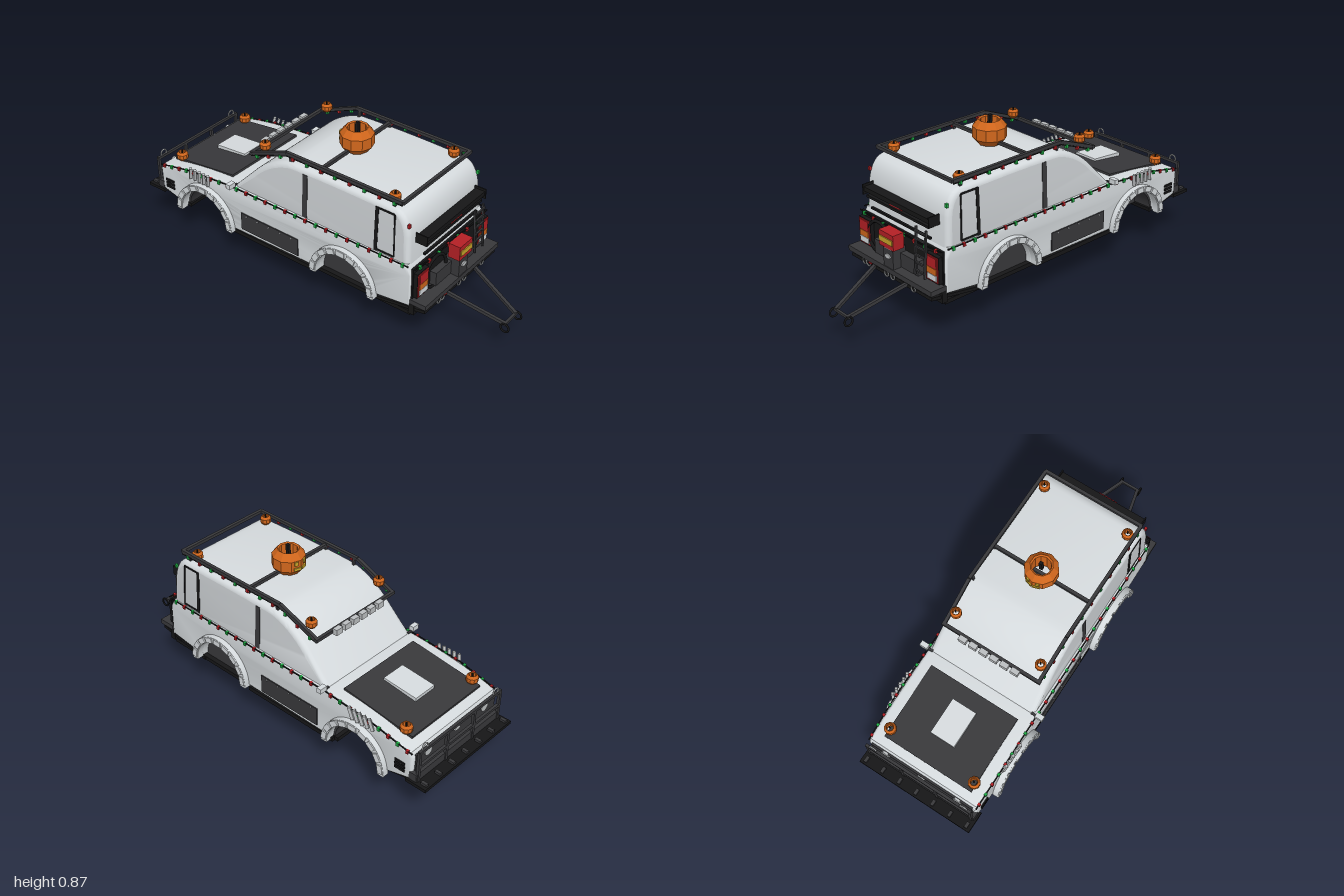
import * as THREE from 'three';
import { toCreasedNormals } from 'three/addons/utils/BufferGeometryUtils.js';

const mat = (name, color) => { const m = new THREE.MeshStandardMaterial({ color }); m.name = name; return m; };

export function createModel() {
  const root = new THREE.Group();
  root.name = 'expeditionWagon';
  const white = mat('white paint', 0xd6dbde), dark = mat('dark trim', 0x38383b), black = mat('black', 0x161617),
    orange = mat('pumpkin orange', 0xd0661c), red = mat('red', 0xb52025), green = mat('green', 0x1fae45),
    yellow = mat('yellow', 0xcaa52a), grey = mat('light grey', 0xbcbfc1), glass = mat('window grey', 0xcbcfd2);
  const V = (x, y, z) => new THREE.Vector3(x, y, z);

  const add = (name, geo, m, x = 0, y = 0, z = 0) => {
    const o = new THREE.Mesh(geo, m);
    o.name = name; o.position.set(x, y, z); root.add(o);
    return o;
  };
  const box = (name, m, w, h, d, x, y, z) => add(name, new THREE.BoxGeometry(w, h, d), m, x, y, z);
  // square bar between two points
  const bar = (name, m, a, b, t, t2 = t) => {
    const o = box(name, m, t, t2, a.distanceTo(b), 0, 0, 0);
    o.position.copy(a).add(b).multiplyScalar(0.5);
    o.lookAt(b);
    return o;
  };
  const path = (name, m, pts, t) => pts.slice(1).forEach((p, i) => bar(name, m, pts[i], p, t));
  // side profile in (z, y) extruded across x
  const across = (shape, width, bevel) => {
    const g = new THREE.ExtrudeGeometry(shape, { depth: width - 2 * bevel, bevelEnabled: bevel > 0,
      bevelSize: bevel, bevelThickness: bevel, bevelOffset: -bevel, bevelSegments: 4, curveSegments: 16 });
    g.translate(0, 0, bevel - width / 2);
    g.rotateY(-Math.PI / 2);
    return g;
  };
  // half ring across the car, standing over a wheel
  const halfRing = (name, m, inner, outer, width, x, y, z) => {
    const f = new THREE.Shape();
    f.absarc(0, 0, outer, -0.05, Math.PI + 0.05, false);
    f.absarc(0, 0, inner, Math.PI + 0.05, -0.05, true);
    add(name, toCreasedNormals(across(f, width, 0), 0.5), m, x, y, z);
  };
  const both = f => [-1, 1].forEach(f);

  // lower body with wheel arches
  const arches = [[0.26, 0.222], [-0.6, 0.207]];
  const s = new THREE.Shape();
  s.moveTo(0.625, 0.25);
  s.lineTo(0.625, 0.42);
  s.lineTo(0.6, 0.465);
  s.lineTo(-0.42, 0.465);
  s.quadraticCurveTo(-0.72, 0.45, -0.9, 0.395);
  s.lineTo(-0.915, 0.37);
  s.lineTo(-0.91, 0.25);
  s.lineTo(-0.75, 0.207);
  s.absarc(-0.6, 0.207, 0.15, Math.PI, 0, true);
  s.lineTo(0.11, 0.215);
  s.absarc(0.26, 0.222, 0.15, Math.PI, 0, true);
  s.closePath();
  add('lowerBody', toCreasedNormals(across(s, 0.6, 0.015), 0.6), white);
  // dark wells and floor
  box('rearWellCore', dark, 0.52, 0.17, 0.98, 0, 0.295, 0.09);
  box('frontWellCore', dark, 0.36, 0.15, 0.45, 0, 0.29, -0.625);
  halfRing('frontWellLiner', dark, 0.14, 0.152, 0.56, 0, 0.207, -0.6);
  box('underTray', black, 0.57, 0.02, 1.1, 0, 0.203, 0.07);
  box('frontUnderTray', black, 0.57, 0.02, 0.2, 0, 0.228, -0.83).rotation.x = 0.2;
  bar('rearUnderTray', black, V(0, 0.2, 0.4), V(0, 0.25, 0.7), 0.58, 0.015);

  // cabin, narrowing towards the roof, with grey sides
  const c = new THREE.Shape();
  c.moveTo(0.605, 0.42);
  c.lineTo(0.597, 0.6);
  c.quadraticCurveTo(0.58, 0.712, 0.51, 0.717);
  c.quadraticCurveTo(0.2, 0.728, -0.07, 0.717);
  c.quadraticCurveTo(-0.2, 0.69, -0.3, 0.58);
  c.lineTo(-0.455, 0.42);
  c.closePath();
  const cabin = across(c, 0.58, 0.026), p = cabin.attributes.position;
  const taper = y => 1 - (y - 0.455) * 0.15;
  for (let i = 0; i < p.count; i++) p.setX(i, p.getX(i) * taper(p.getY(i)));
  cabin.computeVertexNormals();
  add('cabin', toCreasedNormals(cabin, 0.6), [glass, white]);

  both(k => {
    // window frames and pillars lie on the sloping side
    const P = (z, y) => V(k * (0.288 * taper(y)), y, z);
    const upright = (name, m, z, w) => {
      const q = P(z, 0.58);
      box(name, m, 0.008, 0.225, w, q.x, q.y, z).rotation.z = k * 0.043;
    };
    upright('doorPillar', dark, 0.022, 0.028);
    upright('rearWindowPost', black, 0.425, 0.018);
    path('rearWindowFrame', black, [P(0.42, 0.69), P(0.518, 0.69), P(0.525, 0.475), P(0.42, 0.475)], 0.009);
    // side panels, sills and vents
    box('sidePanel', dark, 0.008, 0.095, 0.355, k * 0.301, 0.283, -0.19);
    for (let i = 0; i < 5; i++) box('panelBolt', grey, 0.006, 0.006, 0.006, k * 0.306, 0.322, -0.05 - i * 0.07);
    box('rockSlider', black, 0.04, 0.022, 0.54, k * 0.28, 0.2, -0.19);
    for (let i = 0; i < 3; i++) box('frontVent', black, 0.008, 0.012, 0.055, k * 0.302, 0.28 + i * 0.019, -0.85);
    // wheel arch flares with raised segments
    arches.forEach(([z, y]) => {
      halfRing('archFlare', white, 0.15, 0.183, 0.036, k * 0.31, y, z);
      for (let i = 0; i < 9; i++) {
        const a = (i + 0.5) * Math.PI / 9;
        const b = box('flareSegment', white, 0.02, 0.028, 0.045, k * 0.324, y + 0.167 * Math.sin(a), z + 0.167 * Math.cos(a));
        b.rotation.x = Math.PI / 2 - a;
      }
    });
    // fender fingers and mirrors
    for (let i = 0; i < 5; i++)
      bar('fenderFinger', grey, V(k * 0.305, 0.4, -0.58 - i * 0.029), V(k * 0.315, 0.465, -0.565 - i * 0.029), 0.014);
    box('mirror', white, 0.04, 0.025, 0.025, k * 0.32, 0.48, -0.41);
    box('mirrorArm', dark, 0.04, 0.01, 0.012, k * 0.295, 0.465, -0.41);
  });

  // bonnet
  bar('bonnetPanel', dark, V(0, 0.467, -0.47), V(0, 0.419, -0.86), 0.48, 0.012);
  bar('bonnetScoop', white, V(0, 0.46, -0.55), V(0, 0.445, -0.735), 0.13, 0.028);

  // roof rack
  const rail = k => [V(k * 0.26, 0.752, 0.545), V(k * 0.26, 0.752, -0.1), V(k * 0.255, 0.665, -0.32)];
  both(k => {
    path('rackRail', dark, rail(k), 0.016);
    [0.5, 0.1, -0.08].forEach(z => bar('rackFoot', dark, V(k * 0.25, 0.69, z), V(k * 0.26, 0.752, z), 0.012));
  });
  [[0.752, 0.545], [0.745, 0.1], [0.665, -0.32]].forEach(([y, z]) =>
    box('rackCrossbar', dark, 0.53, 0.016, 0.016, 0, y, z));
  for (let i = 0; i < 6; i++) box('roofLamp', grey, 0.04, 0.03, 0.025, -0.14 + i * 0.056, 0.667, -0.338);

  // pumpkins, hollow around the stem
  const pumpkin = (x, y, z, r, h) => {
    const pts = [[0.68, 0], [1, 0.26], [1, 0.72], [0.66, 1], [0.56, 0.96], [0.55, 0.1]]
      .map(([a, b]) => new THREE.Vector2(a * r, b * h));
    const g = new THREE.LatheGeometry(pts, 10).toNonIndexed();
    g.computeVertexNormals();
    add('pumpkin', g, orange, x, y, z);
    bar('pumpkinStem', black, V(x, y + h * 0.7, z), V(x + r * 0.05, y + h * 1.18, z), r * 0.2);
  };
  pumpkin(0, 0.727, 0.1, 0.081, 0.118);
  both(k => {
    pumpkin(k * 0.227, 0.722, 0.48, 0.027, 0.043);
    pumpkin(k * 0.227, 0.695, -0.26, 0.027, 0.043);
    pumpkin(k * 0.232, 0.425, -0.82, 0.029, 0.045);
    // carved face
    box('pumpkinEye', yellow, 0.018, 0.02, 0.009, k * 0.025, 0.8, 0.025).rotation.y = -k * 0.314;
    box('pumpkinMouth', yellow, 0.036, 0.014, 0.009, k * 0.019, 0.77, 0.023).rotation.y = -k * 0.314;
  });

  // tailgate
  box('tailgate', black, 0.58, 0.165, 0.01, 0, 0.373, 0.627);
  box('tailgateBox', dark, 0.31, 0.07, 0.04, 0, 0.332, 0.645);
  const oval = add('tailgateBadge', new THREE.CylinderGeometry(0.02, 0.02, 0.006, 20), grey, 0, 0.352, 0.71);
  oval.rotation.x = Math.PI / 2; oval.scale.z = 0.55;
  box('carrierBox', red, 0.102, 0.075, 0.06, 0, 0.433, 0.685);
  box('numberPlate', yellow, 0.092, 0.026, 0.006, 0, 0.433, 0.717);
  box('plateArm', dark, 0.07, 0.11, 0.07, 0, 0.342, 0.672);
  box('plateLamp', grey, 0.05, 0.006, 0.006, 0.005, 0.392, 0.709);
  add('carrierRing', new THREE.TorusGeometry(0.08, 0.008, 6, 24), black, -0.14, 0.37, 0.65);
  both(k => {
    box('tailLampHousing', black, 0.084, 0.13, 0.035, k * 0.243, 0.367, 0.635);
    box('tailLampFrame', red, 0.077, 0.122, 0.006, k * 0.243, 0.367, 0.653);
    [[red, 0.05, 0.4], [orange, 0.03, 0.358], [white, 0.028, 0.327]].forEach(([m, h, y]) =>
      box('tailLampLens', m, 0.063, h, 0.008, k * 0.243, y, 0.656));
    box('spoilerEnd', black, 0.006, 0.05, 0.06, k * 0.233, 0.583, 0.63);
    bar('spoilerStay', black, V(k * 0.11, 0.54, 0.59), V(k * 0.11, 0.58, 0.64), 0.01);
  });
  box('spoiler', black, 0.47, 0.022, 0.05, 0, 0.586, 0.63);
  box('lowerSpoiler', black, 0.44, 0.012, 0.03, 0, 0.553, 0.635);
  box('brakeLamp', red, 0.09, 0.006, 0.005, 0, 0.573, 0.653);
  box('gateRail', black, 0.42, 0.01, 0.012, 0, 0.492, 0.63);

  // ladder
  [0.148, 0.215].forEach(x => bar('ladderRail', dark, V(x, 0.31, 0.675), V(x, 0.54, 0.66), 0.009));
  for (let i = 0; i < 6; i++) box('ladderRung', dark, 0.07, 0.008, 0.008, 0.181, 0.33 + i * 0.039, 0.67);

  // rear bumper, towing frame
  box('rearBumper', dark, 0.6, 0.025, 0.085, 0, 0.282, 0.668);
  box('rearBumperSkirt', black, 0.59, 0.06, 0.03, 0, 0.24, 0.63);
  [-0.185, -0.155, -0.022, 0.022, 0.17].forEach(x =>
    add('shackle', new THREE.TorusGeometry(0.014, 0.003, 6, 14), grey, x, 0.255, 0.705));
  box('bumperReflector', red, 0.02, 0.008, 0.008, -0.138, 0.264, 0.706);
  both(k => {
    bar('towArm', dark, V(k * 0.12, 0.262, 0.68), V(k * 0.045, 0.165, 0.97), 0.016);
    add('towRing', new THREE.TorusGeometry(0.021, 0.005, 6, 16), black, k * 0.055, 0.15, 0.974).rotation.y = Math.PI / 2;
  });
  box('towCrossTube', dark, 0.11, 0.012, 0.012, 0, 0.165, 0.97);

  // front grille, bull bar and bumper plate
  box('grille', dark, 0.56, 0.11, 0.01, 0, 0.325, -0.914);
  box('frontBumperPlate', black, 0.62, 0.016, 0.11, 0, 0.245, -0.945);
  box('frontBumper', dark, 0.6, 0.045, 0.04, 0, 0.27, -0.92);
  [0.41, 0.33].forEach(y => box('bullBarRail', dark, 0.58, 0.014, 0.014, 0, y, -0.938));
  for (let i = 0; i < 7; i++) {
    const x = -0.285 + i * 0.095;
    if (i % 2 === 0) box('bullBarPost', dark, 0.014, 0.165, 0.014, x, 0.33, -0.938);
    box('bumperTooth', dark, 0.016, 0.016, 0.03, x, 0.257, -0.975);
  }
  const badge = add('grilleBadge', new THREE.CylinderGeometry(0.02, 0.02, 0.006, 20), grey, 0, 0.36, -0.921);
  badge.rotation.x = Math.PI / 2; badge.scale.z = 0.5;
  both(k => {
    add('headlamp', new THREE.CylinderGeometry(0.024, 0.024, 0.01, 18), grey, k * 0.2, 0.36, -0.918).rotation.x = Math.PI / 2;
    add('barRing', new THREE.TorusGeometry(0.018, 0.004, 6, 16), grey, k * 0.25, 0.425, -0.938);
  });

  // single wheel below the floor, with a deep rim
  const tyre = [[0.082, -0.036], [0.11, -0.04], [0.12, -0.03], [0.12, 0.03], [0.11, 0.04], [0.082, 0.036], [0.08, 0], [0.082, -0.036]]
    .map(([r, y]) => new THREE.Vector2(r, y));
  add('tyre', toCreasedNormals(new THREE.LatheGeometry(tyre, 32), 0.5), black, 0, 0.12, -0.13).rotation.z = Math.PI / 2;
  const disc = (n, m, r, w) => { add(n, new THREE.CylinderGeometry(r, r, w, 24), m, 0, 0.12, -0.13).rotation.z = Math.PI / 2; };
  disc('rimBack', dark, 0.081, 0.008);
  disc('hub', grey, 0.024, 0.03);
  both(k => add('rimRing', new THREE.TorusGeometry(0.077, 0.005, 6, 28), white, k * 0.01, 0.12, -0.13).rotation.y = Math.PI / 2);
  for (let i = 0; i < 10; i++) {
    const a = i * Math.PI / 5;
    box('spoke', white, 0.018, 0.021, 0.06, 0, 0.12 + 0.047 * Math.sin(a), -0.13 + 0.047 * Math.cos(a)).rotation.x = -a;
  }

  // festive light strings
  const lights = (pts, gap) => {
    path('lightWire', black, pts, 0.005);
    let n = 0;
    pts.slice(1).forEach((b, i) => {
      const count = Math.max(1, Math.round(pts[i].distanceTo(b) / gap));
      for (let j = 0; j < count; j++) {
        const q = pts[i].clone().lerp(b, (j + 0.5) / count);
        box('stringBulb', n++ % 2 ? red : green, 0.013, 0.017, 0.013, q.x, q.y - 0.004, q.z);
      }
    });
  };
  both(k => {
    lights([V(k * 0.298, 0.463, 0.61), V(k * 0.303, 0.46, -0.42), V(k * 0.303, 0.437, -0.7), V(k * 0.298, 0.392, -0.91)], 0.06);
    lights(rail(k).map(v => V(v.x + k * 0.005, v.y - 0.012, v.z)), 0.08);
    box('cornerBulb', k > 0 ? green : red, 0.012, 0.018, 0.012, k * 0.27, 0.655, 0.588);
  });
  lights([V(-0.29, 0.458, 0.64), V(-0.15, 0.45, 0.645), V(0, 0.456, 0.645), V(0.15, 0.45, 0.645), V(0.29, 0.458, 0.64)], 0.07);
  return root;
}
